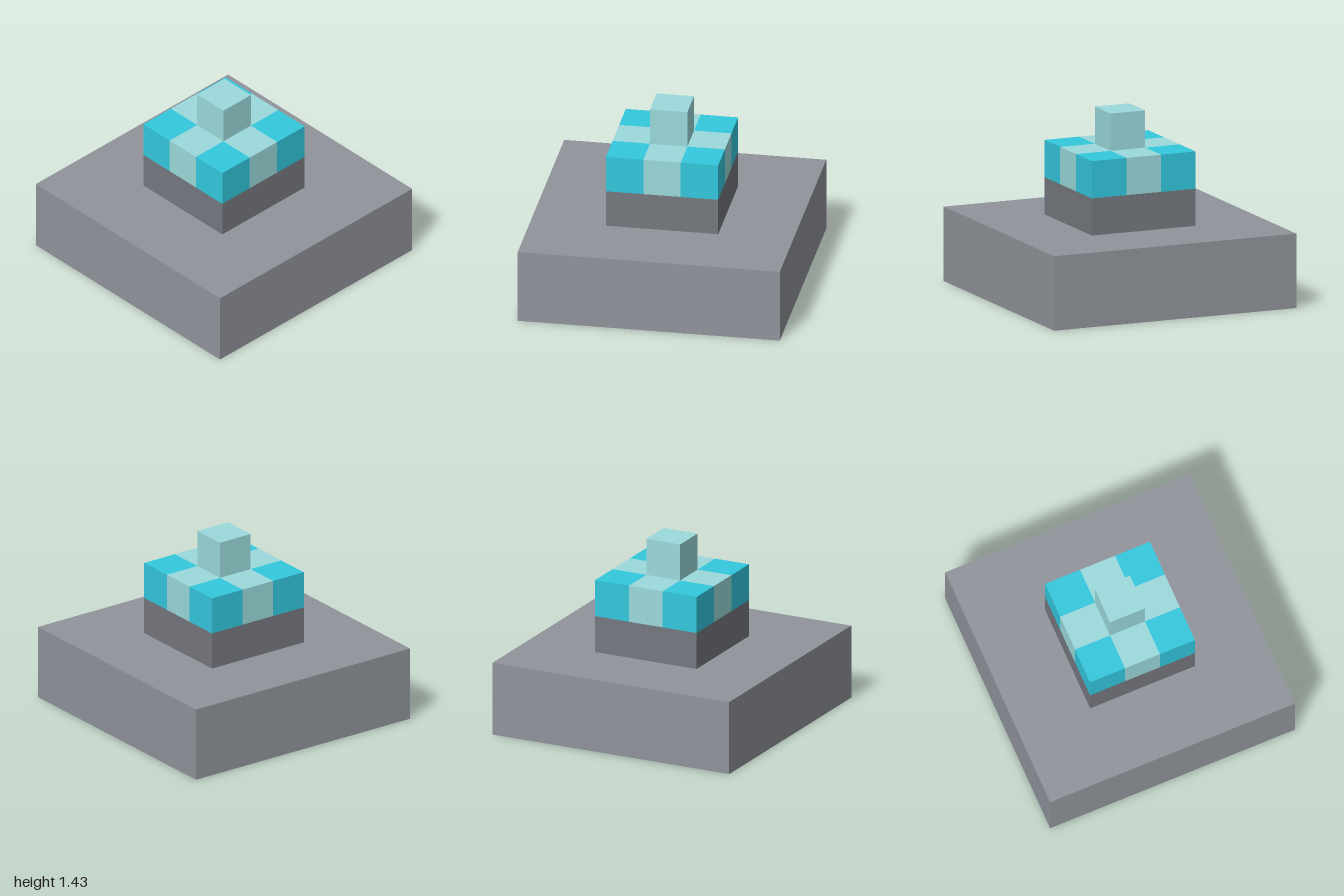
import * as THREE from 'three';

const U = 2 / 7; // one block of the grid

export function createModel() {
  const model = new THREE.Group();
  const paint = (color) => new THREE.MeshStandardMaterial({ color, flatShading: true });
  const stone = paint(0x90949b);
  const darkStone = paint(0x75787f);
  const cyan = paint(0x33c8de);
  const paleCyan = paint(0x9bdadc);

  // Block sized in grid units, standing on level y
  function block(name, material, width, height, y, x = 0, z = 0, parent = model) {
    const geometry = new THREE.BoxGeometry(width * U, height * U, width * U);
    const mesh = new THREE.Mesh(geometry, material);
    mesh.name = name;
    mesh.position.set(x * U, (y + height / 2) * U, z * U);
    parent.add(mesh);
  }

  block('base', stone, 7, 2, 0);
  block('plinth', darkStone, 3, 1, 2);

  // Chequered tier: cyan corners around a pale cross
  const tier = new THREE.Group();
  tier.name = 'chequeredTier';
  model.add(tier);
  for (let x = -1; x <= 1; x++) {
    for (let z = -1; z <= 1; z++) {
      const corner = x !== 0 && z !== 0;
      block(corner ? 'cornerBlock' : 'crossBlock', corner ? cyan : paleCyan, 1, 1, 3, x, z, tier);
    }
  }

  block('topBlock', paleCyan, 1, 1, 4);
  return model;
}
